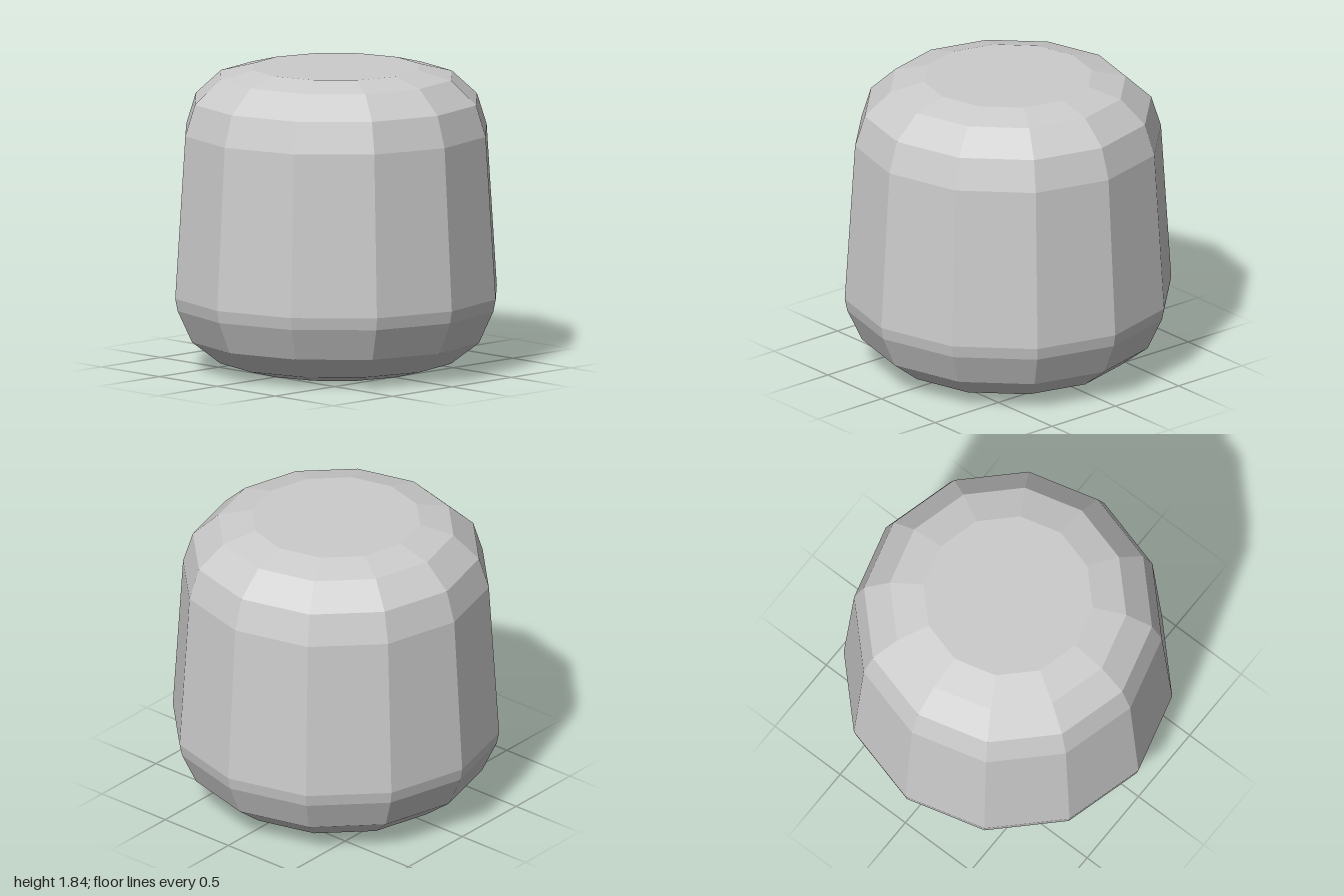
import * as THREE from 'three';

export function createModel() {
  const group = new THREE.Group();
  const material = new THREE.MeshStandardMaterial({ color: 0xcccccc, flatShading: true });

  // Profile as [radius, height], from the centre of the base to the centre of the top
  const profile = [
    [0, 0], [0.51, 0], [0.72, 0.055], [0.895, 0.19], [0.985, 0.385], [1, 0.46],
    [0.937, 1.45], [0.877, 1.64], [0.72, 1.785], [0.515, 1.837], [0, 1.837],
  ].map(([r, y]) => new THREE.Vector2(r, y));

  // Twelve-sided tapered barrel with bevelled ends
  const body = new THREE.Mesh(new THREE.LatheGeometry(profile, 12), material);
  body.name = 'barrelBody';
  group.add(body);

  return group;
}
